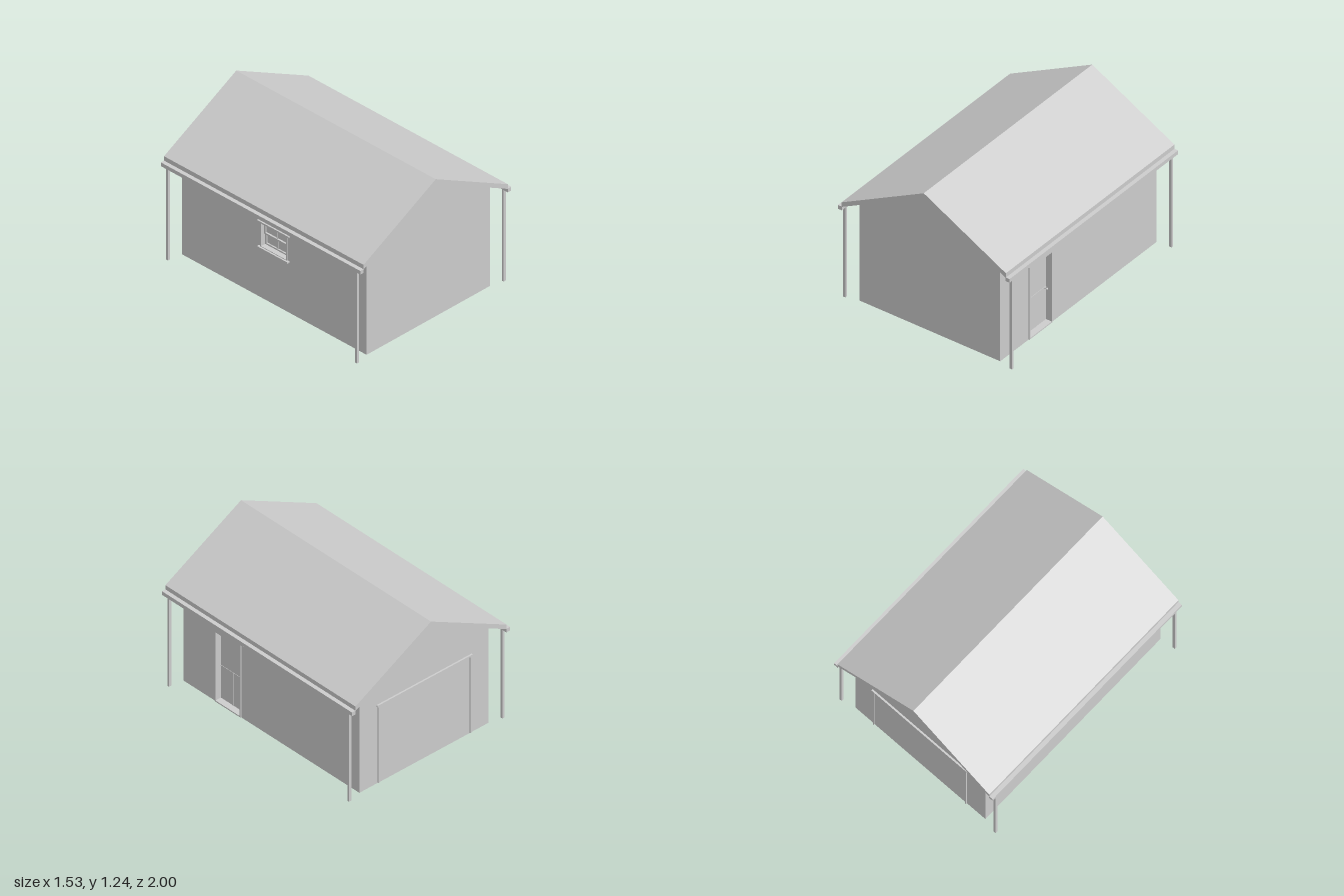
import * as THREE from 'three';

const grey = new THREE.MeshStandardMaterial({ color: 0xcccccc });
grey.name = 'plain grey';

const W = 0.627, D = 0.926, EAVE = 0.876, RIDGE = 1.208, SKIN = 0.004;

function add(parent, name, geometry) {
  const mesh = new THREE.Mesh(geometry, grey);
  mesh.name = name;
  parent.add(mesh);
  return mesh;
}

// Box given by its minimum and maximum corners
function box(parent, name, [x0, x1], [y0, y1], [z0, z1]) {
  const g = new THREE.BoxGeometry(x1 - x0, y1 - y0, z1 - z0);
  g.translate((x0 + x1) / 2, (y0 + y1) / 2, (z0 + z1) / 2);
  return add(parent, name, g);
}

function outline(points) {
  return new THREE.Shape(points.map(([x, y]) => new THREE.Vector2(x, y)));
}

function extrude(points, depth, hole) {
  const shape = outline(points);
  if (hole) shape.holes.push(outline(hole));
  return new THREE.ExtrudeGeometry(shape, { depth, bevelEnabled: false });
}

const rect = (a, b, c, d) => [[a, c], [b, c], [b, d], [a, d]];

// Side wall with an opening; local +z faces outwards, local x runs along the wall
function sideWall(parent, name, side, [a, b, c, d]) {
  const wall = new THREE.Group();
  wall.name = name;
  wall.rotation.y = side * Math.PI / 2;
  wall.position.x = side * W;
  const g = extrude(rect(-D, D, 0, EAVE), SKIN, rect(a, b, c, d));
  g.translate(0, 0, -SKIN);
  add(wall, 'wallPanel', g);
  // Lining around the recess
  const lining = extrude(rect(a - 0.01, b + 0.01, c - 0.01, d + 0.01), 0.063, rect(a, b, c, d));
  lining.translate(0, 0, -0.055);
  add(wall, 'openingFrame', lining);
  parent.add(wall);
  return wall;
}

export function createModel() {
  const model = new THREE.Group();
  model.name = 'garage';

  // Gable walls
  const gable = [[-W, 0], [W, 0], [W, EAVE], [0, RIDGE], [-W, EAVE]];
  for (const [name, z] of [['frontWall', D - SKIN], ['backWall', -D]]) {
    add(model, name, extrude(gable, SKIN)).position.z = z;
  }

  // Raised floor, notched around the door recess
  const fx = W - SKIN, fz = D - SKIN, nx = W - 0.055;
  const floor = extrude([[-fx, -fz], [fx, -fz], [fx, -0.592], [nx, -0.592],
    [nx, -0.312], [fx, -0.312], [fx, fz], [-fx, fz]], 0.008);
  floor.rotateX(-Math.PI / 2);
  add(model, 'floor', floor).position.y = 0.027;

  // Roof
  const roof = extrude([[-0.733, 0.813], [0, 1.201], [0.733, 0.813],
    [0.733, 0.853], [0, 1.241], [-0.733, 0.853]], 2);
  roof.translate(0, 0, -1);
  add(model, 'roof', roof);

  // Gutters and downpipes
  for (const s of [-1, 1]) {
    box(model, 'gutter', s > 0 ? [0.731, 0.766] : [-0.766, -0.731], [0.784, 0.816], [-1, 1]);
    for (const t of [-1, 1]) {
      const pipe = box(model, 'downpipe', [-0.011, 0.011], [0, 0.785], [-0.009, 0.009]);
      pipe.position.set(s * 0.744, 0, t * 0.947);
    }
  }

  // Side door (local x is -z of the model)
  const doorWall = sideWall(model, 'doorWall', 1, [-0.58, -0.324, 0.012, 0.613]);
  box(doorWall, 'door', [-0.58, -0.324], [0.012, 0.613], [-0.055, -0.045]);
  box(doorWall, 'doorRail', [-0.58, -0.324], [0.296, 0.302], [-0.046, -0.042]);
  box(doorWall, 'doorStile', [-0.455, -0.449], [0.012, 0.298], [-0.046, -0.042]);
  box(doorWall, 'doorHeader', [-0.62, -0.283], [0.645, 0.658], [-0.005, 0.014]);
  box(doorWall, 'doorHeadTrim', [-0.59, -0.314], [0.62, 0.646], [-0.005, 0.008]);
  const knob = add(doorWall, 'doorKnob', new THREE.SphereGeometry(0.009, 12, 8));
  knob.position.set(-0.343, 0.295, -0.022);
  const stem = new THREE.CylinderGeometry(0.004, 0.004, 0.026, 8);
  stem.rotateX(Math.PI / 2);
  add(doorWall, 'knobStem', stem).position.set(-0.343, 0.295, -0.036);

  // Side window with two sashes
  const windowWall = sideWall(model, 'windowWall', -1, [-0.125, 0.125, 0.445, 0.64]);
  box(windowWall, 'windowGlass', [-0.125, 0.125], [0.445, 0.64], [-0.055, -0.045]);
  box(windowWall, 'windowHeader', [-0.157, 0.157], [0.645, 0.658], [-0.005, 0.016]);
  box(windowWall, 'windowSill', [-0.152, 0.152], [0.428, 0.44], [-0.005, 0.022]);
  for (const [y0, y1, z] of [[0.445, 0.543, -0.034], [0.537, 0.64, -0.024]]) {
    const sash = extrude(rect(-0.125, 0.125, y0, y1), 0.012,
      rect(-0.112, 0.112, y0 + 0.012, y1 - 0.012));
    sash.translate(0, 0, z - 0.012);
    add(windowWall, 'windowSash', sash);
    box(windowWall, 'glazingBar', [-0.004, 0.004], [y0 + 0.01, y1 - 0.01], [z - 0.011, z - 0.003]);
  }

  // Back vehicle door: flush panel with trim and header
  box(model, 'vehicleDoor', [-0.442, 0.442], [0, 0.672], [-D - 0.001, -D + 0.003]);
  for (const s of [-1, 1]) {
    box(model, 'vehicleDoorTrim', s > 0 ? [0.441, 0.45] : [-0.45, -0.441],
      [0.003, 0.68], [-D - 0.01, -D + 0.02]);
  }
  box(model, 'vehicleDoorHeader', [-0.462, 0.462], [0.678, 0.692], [-D - 0.014, -D + 0.005]);

  return model;
}
